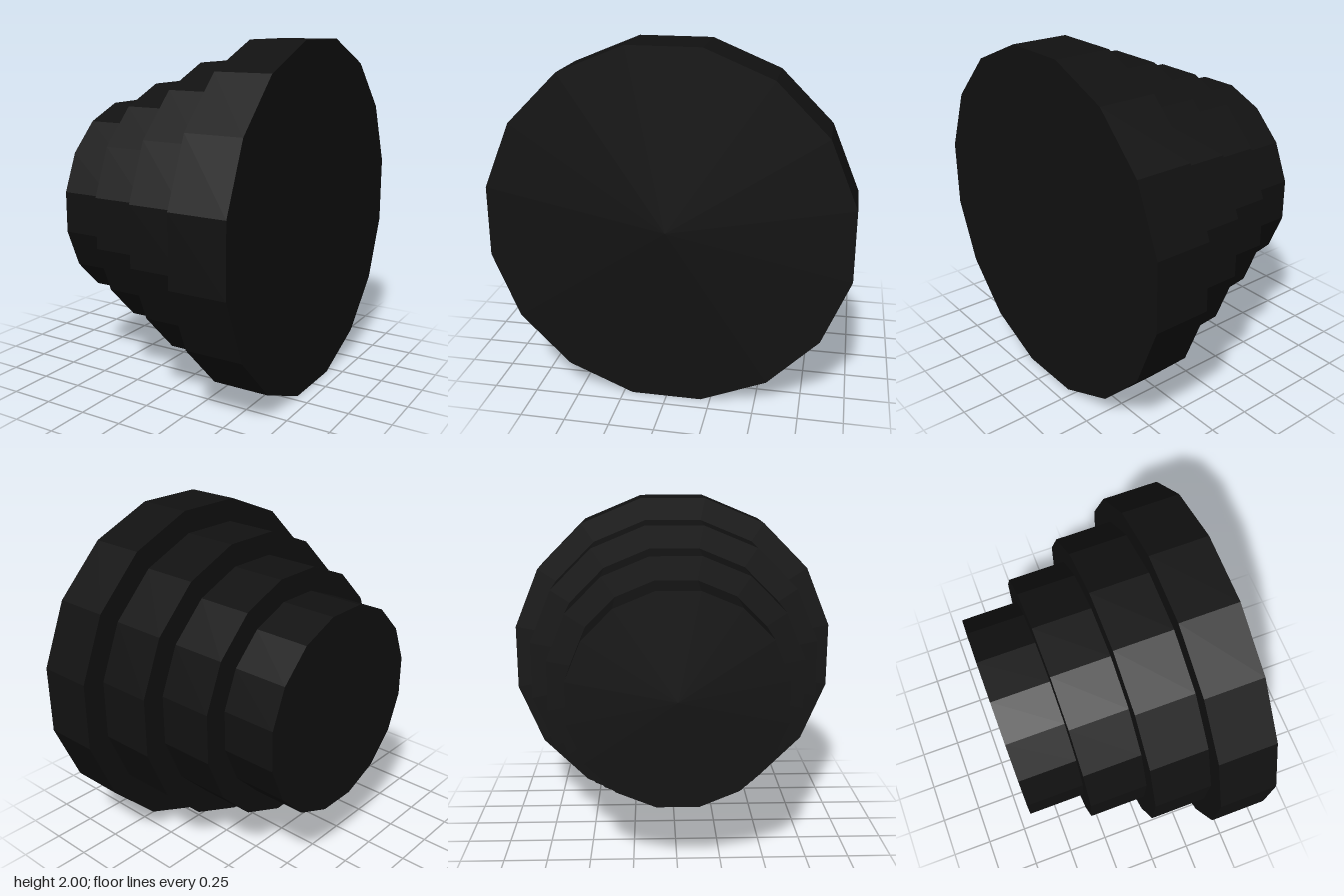
import * as THREE from 'three';

const SIDES = 16;
const STEPS = 4;
const LENGTH = 4 / 3;

export function createModel() {
  const model = new THREE.Group();
  model.name = 'steppedCone';

  const black = new THREE.MeshStandardMaterial({ color: 0x111111, flatShading: true });
  black.name = 'black';

  // Four stacked sixteen-sided discs, widening towards +x
  const width = LENGTH / STEPS;
  for (let i = 0; i < STEPS; i++) {
    const flatRadius = 0.6 + (0.4 * i) / (STEPS - 1); // centre to flat side
    const radius = flatRadius / Math.cos(Math.PI / SIDES);
    const geometry = new THREE.CylinderGeometry(radius, radius, width, SIDES, 1, false, Math.PI / SIDES);
    geometry.rotateZ(-Math.PI / 2);

    const disc = new THREE.Mesh(geometry, black);
    disc.name = `stepDisc${i + 1}`;
    disc.position.set(-LENGTH / 2 + width * (i + 0.5), 1, 0);
    model.add(disc);
  }

  return model;
}
